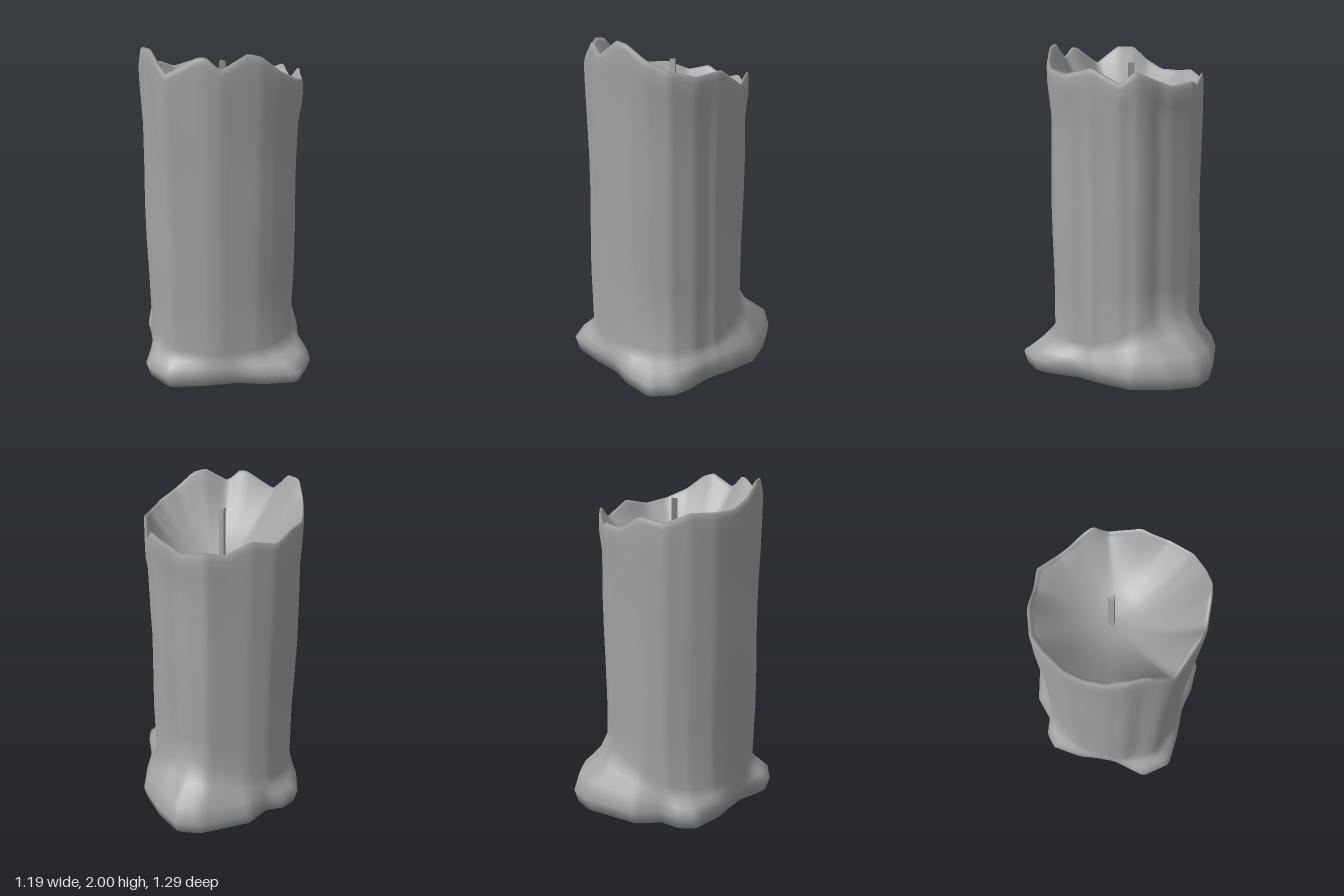
import * as THREE from 'three';

const SEG = 120;
const TAU = Math.PI * 2;

// Outlines as [x, z] corners around the y axis
const puddle = [[0.03, -0.65], [0.2, -0.55], [0.36, -0.4], [0.43, -0.2], [0.47, -0.04], [0.56, 0.12],
  [0.595, 0.22], [0.56, 0.38], [0.36, 0.46], [0.2, 0.49], [0, 0.58], [-0.2, 0.65], [-0.38, 0.55], [-0.42, 0.32],
  [-0.48, 0.2], [-0.54, 0.1], [-0.6, -0.1], [-0.55, -0.2], [-0.45, -0.26], [-0.38, -0.42], [-0.11, -0.62]];
// Rim corners as [x, z, height]
const rim = [[-0.1, -0.45, 1.77], [0.05, -0.42, 1.74], [0.17, -0.385, 1.78], [0.27, -0.35, 1.82], [0.33, -0.28, 1.75],
  [0.4, -0.12, 1.84], [0.455, 0.05, 1.81], [0.45, 0.2, 1.84], [0.38, 0.32, 1.9], [0.3, 0.4, 1.98], [0.23, 0.44, 2],
  [0.1, 0.51, 1.92], [0.02, 0.53, 1.99], [-0.03, 0.53, 1.98], [-0.2, 0.53, 1.89], [-0.32, 0.45, 2], [-0.4, 0.37, 2],
  [-0.45, 0.28, 1.91], [-0.48, 0.17, 1.85], [-0.5, 0.05, 1.84], [-0.48, -0.1, 1.84], [-0.43, -0.23, 1.79],
  [-0.32, -0.33, 1.82], [-0.19, -0.4, 1.75]];

// Distance to an outline (and its height) along angle a, measured from +z towards +x
function sample(outline, a) {
  const dx = Math.sin(a), dz = Math.cos(a);
  for (let i = 0; i < outline.length; i++) {
    const p = outline[i], q = outline[(i + 1) % outline.length];
    const ex = q[0] - p[0], ez = q[1] - p[1];
    const den = dx * ez - dz * ex;
    if (Math.abs(den) < 1e-9) continue;
    const r = (p[0] * ez - p[1] * ex) / den;
    const t = (p[0] * dz - p[1] * dx) / den;
    if (r > 0 && t >= -1e-6 && t <= 1 + 1e-6) return { r, h: (p[2] || 0) + t * ((q[2] || 0) - (p[2] || 0)) };
  }
  return { r: 0.5, h: 1.85 };
}

// Shallow vertical drip folds: [x, z, depth, width]; a negative depth is a ridge
const folds = [[-0.24, 0.5, -0.01, 0.07], [-0.31, 0.42, 0.012, 0.08], [0.12, -0.4, 0.012, 0.14],
  [0.3, -0.33, 0.015, 0.15], [0.4, -0.1, -0.01, 0.07]];
function fold(a) {
  return folds.reduce((sum, [x, z, depth, width]) => {
    let d = a - Math.atan2(x, z);
    d = Math.atan2(Math.sin(d), Math.cos(d));
    return sum + depth * Math.exp(-((d / width) ** 2));
  }, 0);
}

// Skin between rings; each row is a function of angle giving [radius, y]
function skin(rows) {
  const pos = [], index = [];
  rows.forEach((row, i) => {
    for (let j = 0; j < SEG; j++) {
      const a = (j / SEG) * TAU;
      const [r, y] = row(a);
      pos.push(r * Math.sin(a), y, r * Math.cos(a));
      if (i === rows.length - 1) continue;
      const p = i * SEG + j, q = i * SEG + (j + 1) % SEG;
      index.push(p, q, p + SEG, q, q + SEG, p + SEG);
    }
  });
  const g = new THREE.BufferGeometry();
  g.setAttribute('position', new THREE.Float32BufferAttribute(pos, 3));
  g.setIndex(index);
  g.computeVertexNormals();
  return g;
}

export function createModel() {
  const group = new THREE.Group();
  const mat = new THREE.MeshStandardMaterial({ color: 0xa2a2a2, side: THREE.DoubleSide });
  const add = (name, geometry) => {
    const mesh = new THREE.Mesh(geometry, mat);
    mesh.name = name;
    group.add(mesh);
    return mesh;
  };

  // The column is drawn in a little below the rim, more so on its left
  const bodyR = (a, y) => sample(rim, a).r * (0.972 - 0.018 * Math.sin(a)) - fold(a) + 0.006 * Math.sin(y * 5 + a * 3);
  // The puddle climbs higher and bulges more up the back of the candle
  const backness = (a) => Math.max(0, -Math.cos(a)) ** 2;
  const flare = (k, tFront, tBack) => (a) => {
    const b = backness(a);
    const y = 0.08 + (0.12 + 0.2 * b) * k;
    const inner = bodyR(a, y);
    return [inner + Math.max(0, sample(puddle, a).r - inner) * (tFront + (tBack - tFront) * b), y];
  };
  const rimRow = (scale, drop) => (a) => {
    const s = sample(rim, a);
    return [s.r * scale - fold(a) * 0.5, s.h - drop];
  };

  // Flat underside, blending softly into the puddle
  const under = [0.001, 0.5].map((f) => (a) => [sample(puddle, a).r * f, 0]);
  // Outer wax: puddle, flare, then the folded column up to the jagged rim
  const outer = [
    (a) => [sample(puddle, a).r * 0.965, 0],
    flare(0, 1, 1), flare(0.35, 0.65, 0.85), flare(0.62, 0.36, 0.3), flare(1, 0, 0),
    ...[0.55, 0.8, 1.05, 1.3, 1.55].map((y) => (a) => [bodyR(a, y), y]),
    rimRow(0.995, 0.12), rimRow(0.995, 0.04), rimRow(0.985, 0.01), rimRow(0.97, 0), rimRow(0.945, 0.02),
  ];
  // Shallow melted bowl, turning rounder and more level towards the middle
  const FLOOR = 1.52;
  const bowl = [0.97, 0.92, 0.84, 0.72, 0.56, 0.38, 0.2, 0.001].map((f) => (a) => {
    const s = sample(rim, a), w = f ** 3;
    const r = 0.435 + (s.r * 0.945 - 0.435) * w;
    const h = 1.85 + (s.h - 1.85) * w;
    return [r * f, FLOOR + (h - 0.02 - FLOOR) * f ** 2.2];
  });
  add('waxBody', skin([...under, ...outer, ...bowl]));

  // Three-sided wick
  const wick = add('wick', new THREE.CylinderGeometry(0.023, 0.023, 0.4, 3).toNonIndexed());
  wick.geometry.computeVertexNormals();
  wick.position.set(-0.035, 1.68, 0.015);
  wick.rotation.y = Math.PI / 2;
  return group;
}
